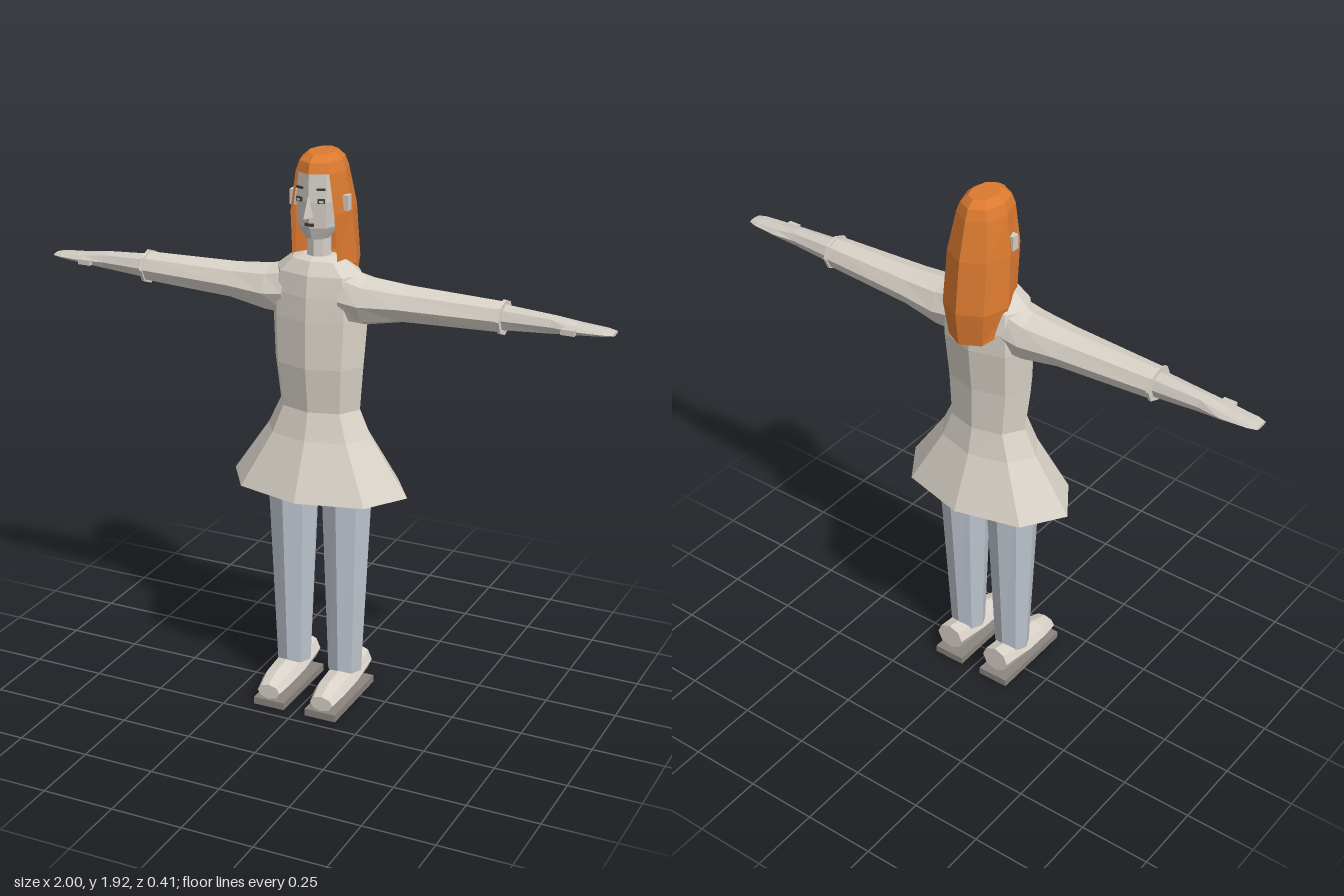
import * as THREE from 'three';

const mat = (name, color, side = THREE.FrontSide) => {
  const m = new THREE.MeshStandardMaterial({ color, side });
  m.name = name;
  return m;
};

// Faceted skin over cross-sections, ordered along the positive axis
function loft(rings, { closed = true, caps = true } = {}) {
  const pos = [];
  const n = rings[0].length;
  const tri = (...p) => p.forEach((q) => pos.push(...q));
  for (let i = 0; i < rings.length - 1; i++) {
    for (let j = 0; j < (closed ? n : n - 1); j++) {
      const k = (j + 1) % n;
      const a = rings[i][j], b = rings[i][k], c = rings[i + 1][k], d = rings[i + 1][j];
      tri(a, b, c);
      tri(a, c, d);
    }
  }
  if (closed && caps) {
    for (const end of [0, rings.length - 1]) {
      const r = rings[end];
      const mid = [0, 1, 2].map((t) => r.reduce((s, p) => s + p[t], 0) / n);
      for (let j = 0; j < n; j++) {
        const k = (j + 1) % n;
        if (end) tri(mid, r[j], r[k]);
        else tri(mid, r[k], r[j]);
      }
    }
  }
  const g = new THREE.BufferGeometry();
  g.setAttribute('position', new THREE.Float32BufferAttribute(pos, 3));
  g.computeVertexNormals();
  return g;
}

const SIDES = 8;
const around = (f) => Array.from({ length: SIDES }, (_, i) => {
  const a = (i / SIDES) * Math.PI * 2;
  return f(Math.sin(a), Math.cos(a));
});
// Rings across y, x and z
const ringY = (y, w, front, back, x = 0) => around((s, c) =>
  [x + s * w, y, (front + back) / 2 + (c * (front - back)) / 2]);
const ringX = (x, bottom, top, d, z = 0) => around((s, c) =>
  [x, (bottom + top) / 2 + (c * (top - bottom)) / 2, z + s * d]);
const ringZ = (z, bottom, top, w, x) => around((s, c) =>
  [x + c * w, (bottom + top) / 2 + (s * (top - bottom)) / 2, z]);

export function createModel() {
  const cloth = mat('beige cloth', 0xd9d2c8);
  const skin = mat('pale skin', 0xd2ccc4);
  const denim = mat('blue grey trousers', 0xbdc4ce);
  const orange = mat('orange hair', 0xdc7a30, THREE.DoubleSide);
  const soleGrey = mat('grey sole', 0x8a857f);
  const dark = mat('dark features', 0x3c3a3a);
  const white = mat('eye white', 0xc9c9c9);

  const model = new THREE.Group();
  const add = (name, geometry, material, parent = model) => {
    const m = new THREE.Mesh(geometry, material);
    m.name = name;
    parent.add(m);
    return m;
  };
  const box = (name, size, at, material, parent, turn = 0) => {
    const m = add(name, new THREE.BoxGeometry(...size), material, parent);
    m.position.set(...at);
    m.rotation.y = turn;
    return m;
  };

  // Dress with flared skirt
  add('dress', loft([
    ringY(0.78, 0.32, 0.2, -0.2),
    ringY(0.97, 0.19, 0.12, -0.12),
    ringY(1.065, 0.145, 0.095, -0.1),
    ringY(1.22, 0.16, 0.112, -0.1),
    ringY(1.38, 0.17, 0.11, -0.115),
    ringY(1.46, 0.17, 0.105, -0.112),
    ringY(1.53, 0.155, 0.095, -0.095),
    ringY(1.573, 0.1, 0.072, -0.06),
    ringY(1.585, 0.055, 0.05, -0.035),
  ]), cloth);

  // Neck, head, nose and mouth
  const head = new THREE.Group();
  head.name = 'head';
  model.add(head);
  add('neck', loft([ringY(1.56, 0.042, 0.05, -0.04), ringY(1.68, 0.038, 0.045, -0.04)]), skin, head);
  add('face', loft([
    ringY(1.645, 0.042, 0.062, -0.03),
    ringY(1.685, 0.068, 0.078, -0.06),
    ringY(1.77, 0.076, 0.085, -0.08),
    ringY(1.87, 0.068, 0.08, -0.08),
  ]), skin, head);
  add('nose', loft([
    [[-0.014, 1.72, 0.07], [0, 1.725, 0.122], [0.014, 1.72, 0.07]],
    [[-0.006, 1.79, 0.07], [0, 1.79, 0.087], [0.006, 1.79, 0.07]],
  ].map((r) => [r[1], r[2], r[0]])), skin, head);
  box('mouth', [0.03, 0.009, 0.008], [0, 1.697, 0.079], dark, head);

  // Hair: cap above the face, curtain open at the front
  const crown = ringY(1.862, 0.083, 0.086, -0.125);
  add('hairCap', loft([
    crown, ringY(1.895, 0.07, 0.075, -0.112), ringY(1.917, 0.045, 0.045, -0.088),
  ]), orange, head);
  const curtain = (front, side, diag, back) => [
    front, side, diag, back, ...[diag, side, front].map(([x, y, z]) => [-x, y, z]),
  ];
  add('longHair', loft([
    curtain([0.07, 1.5, 0], [0.095, 1.45, -0.07], [0.065, 1.43, -0.13], [0, 1.43, -0.165]),
    curtain([0.08, 1.57, 0.038], [0.11, 1.55, -0.05], [0.08, 1.55, -0.14], [0, 1.55, -0.18]),
    curtain([0.077, 1.73, 0.056], [0.101, 1.73, -0.03], [0.076, 1.73, -0.12], [0, 1.73, -0.158]),
    crown.slice(1),
  ], { closed: false }), orange, head);
  // Underside of the hair behind the neck
  add('hairUnderside', loft([
    [[-0.065, 1.43, -0.13], [0, 1.43, -0.165], [0.065, 1.43, -0.13]],
    [[-0.095, 1.45, -0.07], [0, 1.45, -0.08], [0.095, 1.45, -0.07]],
  ], { closed: false }), orange, head);

  for (const s of [1, -1]) {
    const side = s > 0 ? 'left' : 'right';
    const along = (rings) => (s > 0 ? rings : rings.reverse());

    // Eyes, brows and ears
    box(side + 'Eye', [0.024, 0.014, 0.008], [s * 0.038, 1.776, 0.07], dark, head, s * 0.4);
    box(side + 'EyeWhite', [0.014, 0.007, 0.008], [s * 0.039, 1.775, 0.072], white, head, s * 0.4);
    box(side + 'Brow', [0.028, 0.006, 0.008], [s * 0.037, 1.814, 0.07], dark, head, s * 0.4);
    box(side + 'Ear', [0.03, 0.05, 0.028], [s * 0.088, 1.762, -0.004], skin, head);

    // Sleeve, cuff, hand and thumb
    const arm = new THREE.Group();
    arm.name = side + 'Arm';
    model.add(arm);
    add('sleeve', loft(along([
      ringX(s * 0.1, 1.36, 1.55, 0.085),
      ringX(s * 0.17, 1.365, 1.53, 0.088),
      ringX(s * 0.3, 1.392, 1.517, 0.077),
      ringX(s * 0.635, 1.405, 1.508, 0.056),
    ])), cloth, arm);
    add('cuff', loft(along([
      ringX(s * 0.632, 1.398, 1.514, 0.062),
      ringX(s * 0.642, 1.398, 1.514, 0.062),
    ])), cloth, arm);
    add('hand', loft(along([
      ringX(s * 0.6, 1.41, 1.502, 0.046),
      ringX(s * 0.8, 1.425, 1.488, 0.035),
      ringX(s * 0.88, 1.436, 1.474, 0.042),
      ringX(s * 0.97, 1.445, 1.466, 0.036),
      ringX(s * 1.0, 1.449, 1.461, 0.026),
    ])), skin, arm);
    box('thumb', [0.045, 0.018, 0.03], [s * 0.863, 1.453, 0.038], skin, arm);

    // Trouser leg
    add(side + 'Leg', loft([
      ringY(0.105, 0.062, 0.06, -0.055, s * 0.097),
      ringY(0.8, 0.09, 0.09, -0.1, s * 0.099),
      ringY(0.9, 0.085, 0.085, -0.09, s * 0.09),
    ]), denim);

    // Shoe with flat sole
    const shoe = new THREE.Group();
    shoe.name = side + 'Shoe';
    model.add(shoe);
    add('shoeUpper', loft([
      ringZ(-0.105, 0.045, 0.142, 0.052, s * 0.1),
      ringZ(0.03, 0.032, 0.118, 0.058, s * 0.1),
      ringZ(0.13, 0.028, 0.108, 0.055, s * 0.1),
      ringZ(0.2, 0.028, 0.083, 0.042, s * 0.1),
    ]), cloth, shoe);
    box('sole', [0.114, 0.026, 0.32], [s * 0.097, 0.013, 0.045], soleGrey, shoe);
  }
  return model;
}
